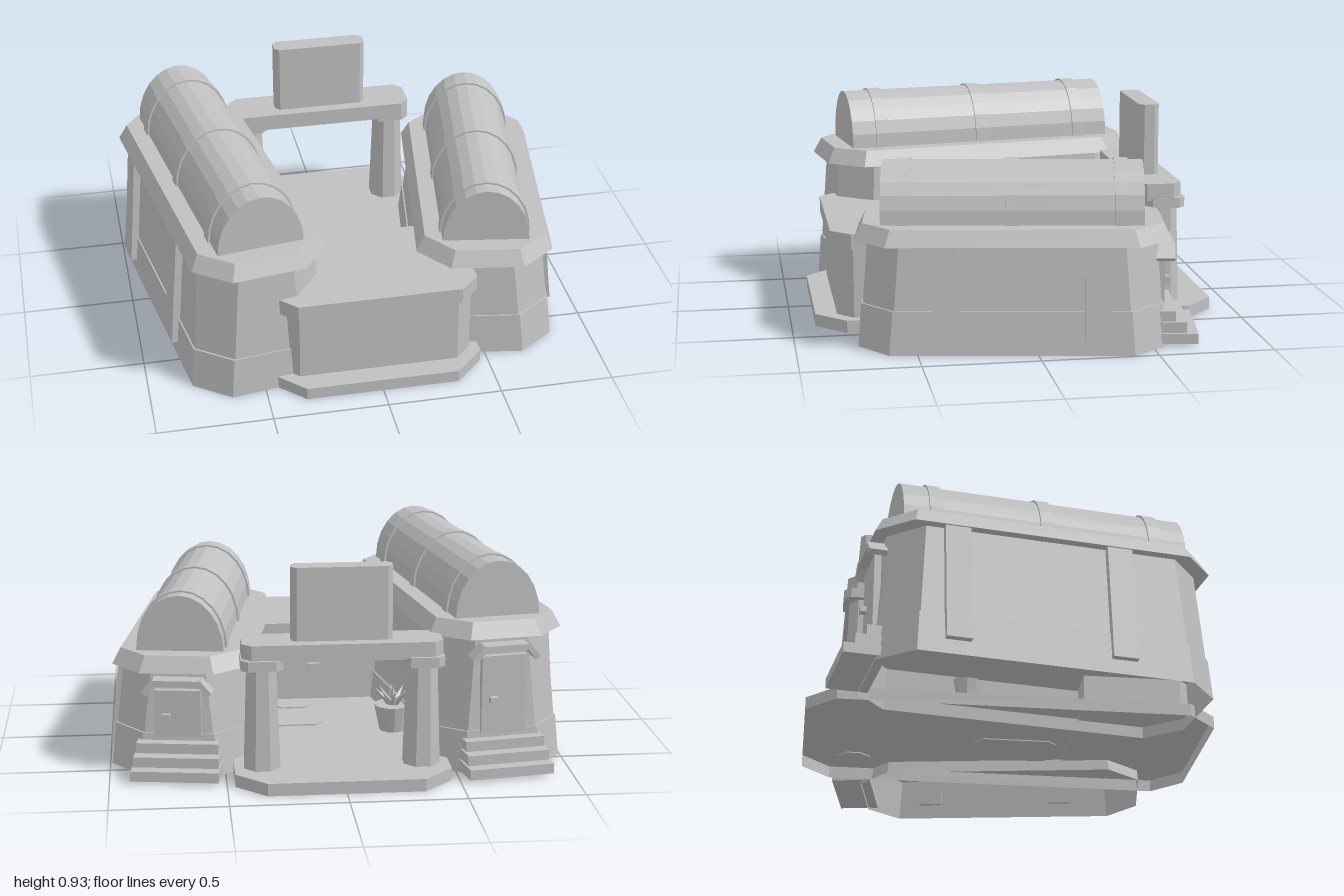
import * as THREE from 'three';

const grey = new THREE.MeshStandardMaterial({ color: 0xc0c0c0, flatShading: true, side: THREE.DoubleSide });
grey.name = 'plain grey';

function add(parent, name, geometry, x = 0, y = 0, z = 0) {
  const mesh = new THREE.Mesh(geometry, grey);
  mesh.name = name;
  mesh.position.set(x, y, z);
  parent.add(mesh);
  return mesh;
}

const box = (w, h, d) => new THREE.BoxGeometry(w, h, d);

// Rectangle with cut corners, counterclockwise seen from above
const octagon = (w, l, c) => [
  [w, l - c], [w, c - l], [w - c, -l], [c - w, -l],
  [-w, c - l], [-w, l - c], [c - w, l], [w - c, l],
];

// Stack of octagons [halfWidth, halfLength, cut, y], closed on top, open below
function loft(rings, closeBottom = false) {
  const loops = rings.map(([w, l, c, y]) => octagon(w, l, c).map(([x, z]) => [x, y, z]));
  const pos = [];
  const tri = (a, b, c) => pos.push(...a, ...b, ...c);
  for (let r = 0; r < loops.length - 1; r++) {
    for (let i = 0; i < 8; i++) {
      const j = (i + 1) % 8, lo = loops[r], hi = loops[r + 1];
      tri(lo[i], lo[j], hi[j]);
      tri(lo[i], hi[j], hi[i]);
    }
  }
  const top = loops[loops.length - 1], bottom = loops[0];
  for (let i = 1; i < 7; i++) {
    tri(top[0], top[i], top[i + 1]);
    if (closeBottom) tri(bottom[0], bottom[i + 1], bottom[i]);
  }
  const g = new THREE.BufferGeometry();
  g.setAttribute('position', new THREE.Float32BufferAttribute(pos, 3));
  g.computeVertexNormals();
  return g;
}

const slab = (w, l, c, y0, y1) => loft([[w, l, c, y0], [w, l, c, y1]], true);

// Faceted half-barrel along z
function barrel(rx, ry, length) {
  const shape = new THREE.Shape();
  const n = 12;
  for (let i = 0; i <= n; i++) {
    const a = (i / n) * Math.PI;
    const x = rx * Math.cos(a), y = ry * Math.sin(a);
    if (i) shape.lineTo(x, y); else shape.moveTo(x, y);
  }
  shape.closePath();
  const g = new THREE.ExtrudeGeometry(shape, { depth: length, bevelEnabled: false });
  return g.translate(0, 0, -length / 2);
}

// Long house; H is the eave height, L the eave half length, side the outer side
function house(name, H, L, side, bandZ, pilasterZ) {
  const g = new THREE.Group();
  g.name = name;
  const w0 = 0.315, lean = 0.05;
  const wallX = (y) => w0 - lean * y / H;
  const wallZ = (y) => L - 0.015 - 0.035 * y / H;
  const ring = (y, inset) => [wallX(y) - inset, wallZ(y) - inset, 0.14, y];

  // Sloping walls with a slightly wider skirt, then the eave
  add(g, 'wallSkirt', loft([ring(0, 0), ring(0.185, 0)]));
  add(g, 'walls', loft([ring(0.185, 0.006), ring(H, 0.006)]));
  add(g, 'eave', loft([
    [0.25, L - 0.06, 0.13, H], [0.3, L, 0.14, H], [0.265, L - 0.035, 0.125, H + 0.07],
  ]));

  // Barrel roof with three hoops
  const half = L - 0.115;
  add(g, 'barrelRoof', barrel(0.19, 0.245, half * 2), 0, H + 0.07);
  for (const z of [-bandZ, 0, bandZ]) add(g, 'roofBand', barrel(0.199, 0.253, 0.06), 0, H + 0.07, z);

  // Leaning pilasters on the outer side
  for (const z of pilasterZ) {
    const y = (0.07 + H) / 2;
    const p = add(g, 'pilaster', box(0.05, H - 0.06, 0.11), side * (wallX(y) + 0.002), y, z);
    p.rotation.z = side * Math.atan(lean / H);
  }

  // Back door with handle and bent hood
  const doorH = H - 0.08 - 0.17;
  add(g, 'backDoor', box(0.2, doorH, 0.03), 0, 0.17 + doorH / 2, -wallZ(0.3) - 0.004);
  add(g, 'doorHandle', box(0.035, 0.025, 0.03), 0.05, 0.17 + doorH * 0.45, -wallZ(0.3) - 0.03);
  const hoodZ = -L + 0.02;
  add(g, 'doorHood', box(0.2, 0.025, 0.08), 0, H - 0.04, hoodZ);
  for (const s of [-1, 1]) {
    const arm = add(g, 'doorHoodArm', box(0.025, 0.075, 0.08), s * 0.118, H - 0.062, hoodZ);
    arm.rotation.z = s * 0.7;
  }

  // Three back steps
  for (let i = 0; i < 3; i++) {
    const back = L + 0.12 - i * 0.048, front = L - 0.06;
    add(g, 'backStep', box(0.38 - i * 0.012, 0.045, back - front), 0, 0.035 + i * 0.048, -(back + front) / 2);
  }
  return g;
}

export function createModel() {
  const model = new THREE.Group();
  model.name = 'compound';

  // Platform
  add(model, 'platform', loft([[0.465, 0.895, 0.13, 0], [0.465, 0.895, 0.13, 0.055]]));
  add(model, 'floorPad', slab(0.12, 0.185, 0.035, 0.05, 0.062), 0.15, 0, 0.065);
  add(model, 'floorHatch', slab(0.09, 0.06, 0.035, 0.05, 0.068), 0.15, 0, 0.19);

  // Two long houses turned towards each other at the front
  const tall = house('tallHouse', 0.6, 0.747, -1, 0.49, [-0.42, 0.29]);
  tall.position.set(-0.59, 0, 0.07);
  tall.rotation.y = 0.157;
  const low = house('lowHouse', 0.46, 0.67, 1, 0.46, [-0.36, 0.28]);
  low.position.set(0.6, 0, 0.06);
  low.rotation.y = -0.157;
  model.add(tall, low);

  // Flat-roofed front room between the houses
  const room = new THREE.Group();
  room.name = 'frontRoom';
  const plan = (w, front, back, c) => {
    const s = new THREE.Shape();
    [[-w, -back], [-w, c - front], [c - w, -front], [w - c, -front], [w, c - front], [w, -back]]
      .forEach(([x, y], i) => (i ? s.lineTo(x, y) : s.moveTo(x, y)));
    s.closePath();
    return s;
  };
  const upright = (s, h) => new THREE.ExtrudeGeometry(s, { depth: h, bevelEnabled: false }).rotateX(-Math.PI / 2);
  add(room, 'roomWalls', upright(plan(0.42, 0.8, 0.305, 0.07), 0.32), 0, 0.05);
  add(room, 'roomRoof', upright(plan(0.443, 0.825, 0.29, 0.085), 0.07), 0, 0.365);
  add(room, 'roomDoorHandle', box(0.06, 0.03, 0.03), 0.04, 0.22, 0.295);
  model.add(room);

  // Back gate: posts, capitals, beam and blank board
  const gate = new THREE.Group();
  gate.name = 'backGate';
  for (const s of [-1, 1]) {
    const post = add(gate, 'gatePost', new THREE.CylinderGeometry(0.068, 0.084, 0.46, 8), s * 0.345, 0.28, -0.66);
    post.rotation.y = Math.PI / 8;
    add(gate, 'postCapital', slab(0.09, 0.09, 0.03, 0.5, 0.545), s * 0.345, 0, -0.66);
  }
  add(gate, 'gateBeam', slab(0.43, 0.1, 0.04, 0.535, 0.61), 0, 0, -0.635);
  add(gate, 'gateBoard', slab(0.217, 0.046, 0.022, 0.6, 0.93), 0, 0, -0.632);
  model.add(gate);

  // Spiky plant in a round pot
  const plant = new THREE.Group();
  plant.name = 'pottedPlant';
  plant.position.set(-0.28, 0.055, -0.2);
  add(plant, 'pot', new THREE.CylinderGeometry(0.085, 0.06, 0.12, 12), 0, 0.06);
  for (let i = 0; i < 8; i++) {
    const leaf = new THREE.ConeGeometry(0.02, 0.12, 4).translate(0, 0.06, 0).rotateZ(-0.75);
    add(plant, 'leaf', leaf, 0, 0.11).rotation.y = (i * Math.PI) / 4;
  }
  add(plant, 'leaf', new THREE.ConeGeometry(0.022, 0.11, 4), 0, 0.16);
  model.add(plant);

  return model;
}
